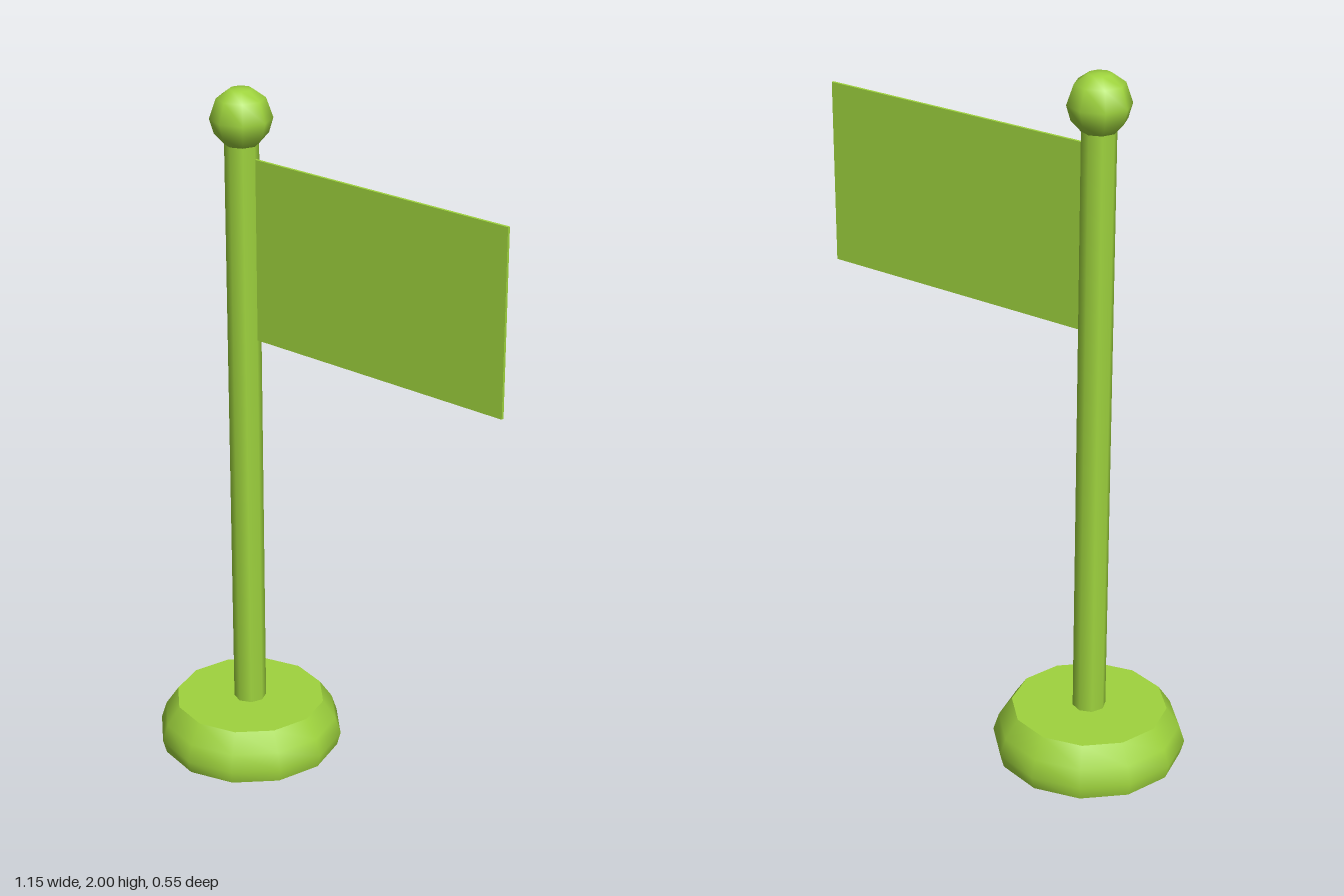
import * as THREE from 'three';
import { toCreasedNormals } from 'three/addons/utils/BufferGeometryUtils.js';

const POLE_X = -0.305;

export function createModel() {
  const group = new THREE.Group();
  const green = new THREE.MeshStandardMaterial({ color: 0x9fd43e });
  green.name = 'lime green';

  const add = (name, geometry, x, y, z) => {
    const mesh = new THREE.Mesh(geometry, green);
    mesh.name = name;
    mesh.position.set(x, y, z);
    group.add(mesh);
  };
  // Turned part from a bottom-to-top profile of [radius, height]
  const turned = (profile, sides, crease) => toCreasedNormals(
    new THREE.LatheGeometry(profile.map(([r, y]) => new THREE.Vector2(r, y)), sides), crease);

  // Twelve-sided foot with rounded flank and flat top
  add('base', turned([[0, 0], [0.262, 0], [0.273, 0.04], [0.257, 0.09], [0.22, 0.145], [0, 0.145]], 12, 0.85),
    POLE_X, 0, 0);

  // Pole
  add('pole', new THREE.CylinderGeometry(0.047, 0.047, 1.75, 8), POLE_X, 0.985, 0);

  // Ball finial
  add('finial', turned([[0, 1.845], [0.045, 1.845], [0.074, 1.877], [0.086, 1.918],
    [0.067, 1.973], [0.032, 1.998], [0, 2]], 8, 1.2), POLE_X, 0, 0);

  // Flag, a thin plate just behind the pole's centre
  add('flag', new THREE.BoxGeometry(0.86, 0.52, 0.008), 0.147, 1.55, -0.007);

  return group;
}
